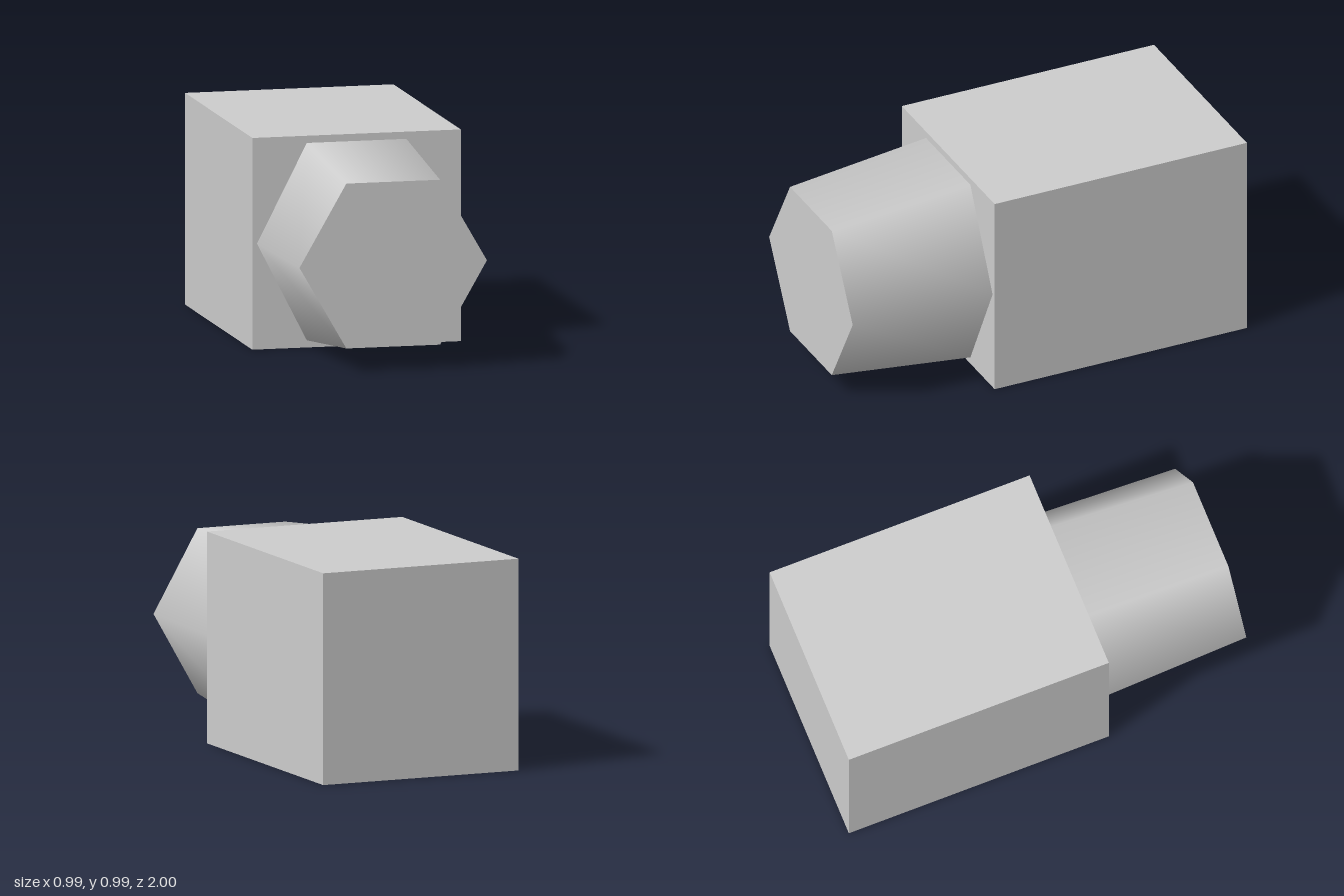
import * as THREE from 'three';

const WIDTH = 0.994, BACK = -1, SHOULDER = 0.295, FRONT = 1;

export function createModel() {
  const model = new THREE.Group();
  model.name = 'model';
  const grey = new THREE.MeshStandardMaterial({ color: 0xcccccc });
  grey.name = 'light grey';

  // Square block at the back
  const bodyLength = SHOULDER - BACK;
  const body = new THREE.Mesh(new THREE.BoxGeometry(WIDTH, WIDTH, bodyLength), grey);
  body.name = 'body';
  body.position.set(0, WIDTH / 2, (BACK + SHOULDER) / 2);
  model.add(body);

  // Smooth-shaded six-sided nose, with corners at left and right
  const noseLength = FRONT - SHOULDER;
  const noseGeometry = new THREE.CylinderGeometry(0.447, 0.475, noseLength, 6, 1, false, Math.PI / 2);
  noseGeometry.rotateX(Math.PI / 2);
  // Stretch the root taller than it is wide, so the nose tapers more in height
  const points = noseGeometry.attributes.position;
  for (let i = 0; i < points.count; i++) {
    if (points.getZ(i) < 0) points.setY(i, points.getY(i) * 1.126);
  }
  const nose = new THREE.Mesh(noseGeometry, grey);
  nose.name = 'nose';
  nose.position.set(0, WIDTH / 2, (SHOULDER + FRONT) / 2);
  model.add(nose);

  return model;
}
